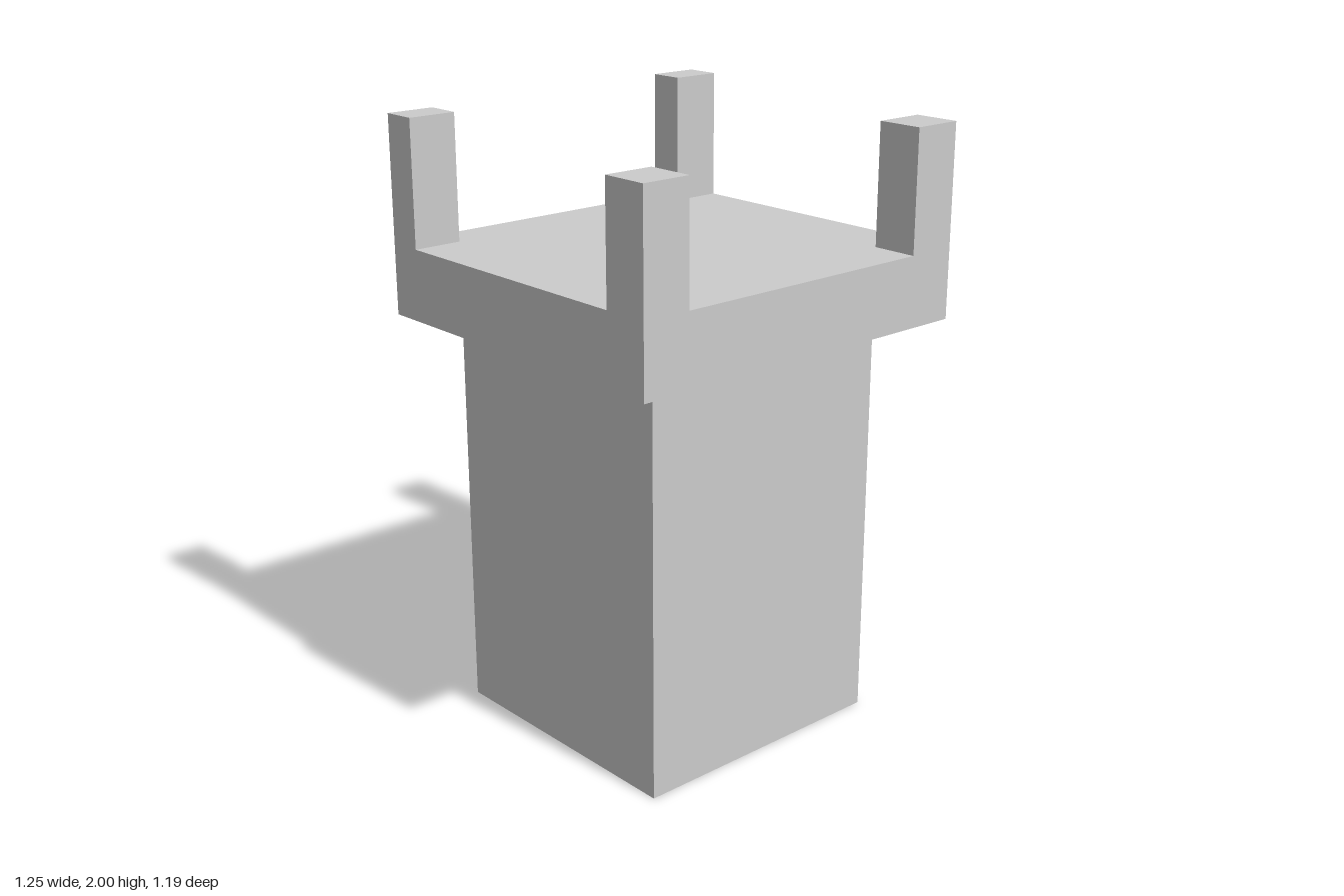
import * as THREE from 'three';

const material = new THREE.MeshStandardMaterial({ color: 0xcccccc, flatShading: true });
const openMaterial = new THREE.MeshStandardMaterial({ color: 0xcccccc, flatShading: true, side: THREE.DoubleSide });

// Box between two opposite corners
function block(name, [x0, y0, z0], [x1, y1, z1], mat = material) {
  const geometry = new THREE.BoxGeometry(x1 - x0, y1 - y0, z1 - z0);
  geometry.translate((x0 + x1) / 2, (y0 + y1) / 2, (z0 + z1) / 2);
  const mesh = new THREE.Mesh(geometry, mat);
  mesh.name = name;
  return mesh;
}

export function createModel() {
  const group = new THREE.Group();
  group.name = 'tower';

  const X = 0.625, Z = 0.593;               // platform half sizes
  const left = 0.456, right = -0.462;       // inner lines shared by shaft and posts
  const front = 0.44, back = -0.476;
  const underside = 1.35, deck = 1.58;

  // Hollow shaft: four walls only, open at the bottom
  const shaft = block('shaft', [right, 0, back], [left, underside, front], openMaterial);
  const index = Array.from(shaft.geometry.index.array);
  index.splice(12, 12);                     // drop the top and bottom faces
  shaft.geometry.setIndex(index);
  shaft.geometry.clearGroups();
  group.add(shaft);

  // Overhanging platform
  group.add(block('platform', [-X, underside, -Z], [X, deck, Z]));

  // Corner posts, each of a slightly different height
  group.add(
    block('frontLeftPost', [left, deck, front], [X, 1.97, Z]),
    block('frontRightPost', [-X, deck, front], [right, 1.95, Z]),
    block('backLeftPost', [left, deck, -Z], [X, 2, back]),
    block('backRightPost', [-X, deck, -Z], [right, 1.985, back]),
  );
  return group;
}
